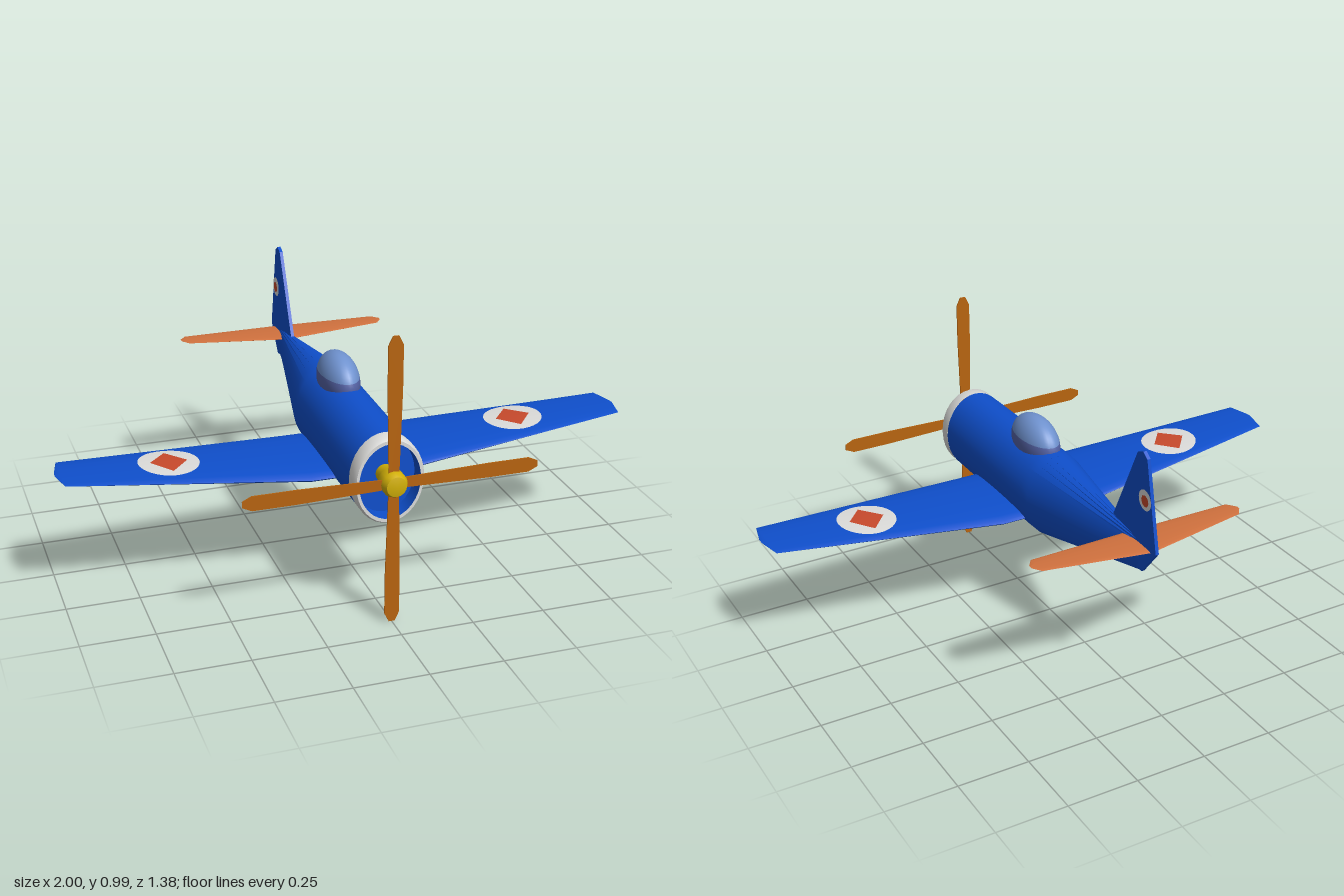
import * as THREE from 'three';
import { toCreasedNormals } from 'three/addons/utils/BufferGeometryUtils.js';

const material = (name, color) => new THREE.MeshStandardMaterial({ name, color });

// Skins a list of closed rings, each an array of [x, y, z] points.
function loft(rings, crease = 0.6) {
  const n = rings[0].length, index = [];
  for (let i = 0; i < rings.length - 1; i++) {
    for (let j = 0; j < n; j++) {
      const a = i * n + j, b = i * n + (j + 1) % n;
      index.push(a, a + n, b, b, a + n, b + n);
    }
  }
  const geometry = new THREE.BufferGeometry();
  geometry.setAttribute('position', new THREE.Float32BufferAttribute(rings.flat(2), 3));
  geometry.setIndex(index);
  return toCreasedNormals(geometry, crease);
}

const around = (n, point) => Array.from({ length: n }, (_, i) => point(i / n * Math.PI * 2));

// Upright elliptical body section at z.
const bodyRing = ([z, w, bottom, top]) => around(32, a =>
  [w * Math.cos(a), (top + bottom) / 2 + (top - bottom) / 2 * Math.sin(a), z]);

// Nose section scaled about the engine axis.
const noseRing = ([z, s]) => bodyRing([z, 0.12 * s, 0.495 - 0.15 * s, 0.495 + 0.15 * s]);

// Lens-shaped aerofoil stations [x, back z, front z, y, half thickness], mirrored across the span.
function wingGeometry(stations) {
  const span = [...stations].reverse().map(([x, ...rest]) => [-x, ...rest]).concat(stations);
  return loft(span.map(([x, back, front, y, h]) => around(20, a =>
    [x, y + h * Math.sin(a), (back + front) / 2 + (front - back) / 2 * Math.cos(a)])), 0.8);
}

const WING = [
  [0.18, 0, 0.38, 0.415, 0.024],
  [0.98, 0.1, 0.295, 0.474, 0.004],
  [1.0, 0.19, 0.21, 0.475, 0.001],
];

// Height of the wing's upper skin.
function wingTop(x, z) {
  const t = (Math.abs(x) - WING[0][0]) / (WING[1][0] - WING[0][0]);
  const [, back, front, y, h] = WING[0].map((v, i) => THREE.MathUtils.lerp(v, WING[1][i], t));
  const u = (z - (back + front) / 2) / ((front - back) / 2);
  return y + h * Math.sqrt(Math.max(0, 1 - u * u));
}

// Flat disc laid on the upper wing skin.
function wingDisc(x, z, rx, rz, sides, lift) {
  const geometry = new THREE.RingGeometry(0.001, 1, sides, 8);
  geometry.scale(rx, rz, 1).rotateX(-Math.PI / 2).translate(x, 0, z);
  const p = geometry.attributes.position;
  for (let i = 0; i < p.count; i++) p.setY(i, wingTop(p.getX(i), p.getZ(i)) + lift);
  geometry.computeVertexNormals();
  return geometry;
}

export function createModel() {
  const blue = material('blue paint', 0x0f4fcc);
  const white = material('white paint', 0xdcdcda);
  const red = material('red paint', 0xc84a2c);
  const yellow = material('yellow spinner', 0xd2b008);
  const wood = material('propeller wood', 0xb8640f);
  const orange = material('orange tailplane', 0xd0713e);
  const glass = material('canopy glass', 0x6f92cf);
  const rim = material('canopy rim', 0x5563a6);

  const model = new THREE.Group();
  model.name = 'airplane';
  const add = (name, geometry, mat, parent = model) => {
    const mesh = new THREE.Mesh(geometry, mat);
    mesh.name = name;
    parent.add(mesh);
    return mesh;
  };

  // Body tapering to an upright knife edge at the tail
  add('fuselage', loft([
    [0.57, 0.12, 0.345, 0.645],
    [0, 0.12, 0.345, 0.66],
    [-0.045, 0.118, 0.346, 0.659],
    [-0.61, 0.003, 0.49, 0.6],
    [-0.612, 0.0005, 0.53, 0.56],
  ].map(bodyRing)), blue);

  // Cowl band with a rounded lip and recessed opening
  add('cowl', loft([[0.625, 0.87], [0.625, 0.95], [0.612, 1], [0.57, 1.003]].map(noseRing)), white);
  add('noseOpening', loft([[0.57, 0.002], [0.57, 0.86], [0.625, 0.87]].map(noseRing)), blue);

  // Spinner
  const profile = [[0, 0.56], [0.03, 0.565], [0.034, 0.61], [0.043, 0.628],
    [0.043, 0.668], [0.034, 0.686], [0, 0.693]];
  const spinner = new THREE.LatheGeometry(profile.map(p => new THREE.Vector2(...p)), 16);
  spinner.rotateX(Math.PI / 2).translate(0, 0.503, 0);
  add('spinner', toCreasedNormals(spinner, 0.7), yellow);

  // Four thin blades
  const propeller = new THREE.Group();
  propeller.name = 'propeller';
  propeller.position.set(0, 0.503, 0.654);
  model.add(propeller);
  const bladeShape = new THREE.Shape([[-0.017, 0], [0.017, 0], [0.025, 0.32], [0.025, 0.465],
    [0.01, 0.496], [-0.01, 0.496], [-0.025, 0.465], [-0.025, 0.32]].map(p => new THREE.Vector2(...p)));
  for (let i = 0; i < 4; i++) {
    const blade = new THREE.ExtrudeGeometry(bladeShape, { depth: 0.004, bevelEnabled: false });
    add('blade', blade, wood, propeller).rotation.z = i * Math.PI / 2;
  }

  // Wing and tailplane
  add('wing', wingGeometry(WING), blue);
  add('tailplane', wingGeometry([
    [0.001, -0.66, -0.505, 0.582, 0.006],
    [0.37, -0.61, -0.533, 0.598, 0.002],
    [0.393, -0.58, -0.565, 0.599, 0.001],
  ]), orange);

  // Fin and rudder in one plate, drawn with the rear to the right
  const finShape = new THREE.Shape([[0.42, 0.6], [0.55, 0.5], [0.61, 0.49], [0.69, 0.59],
    [0.625, 0.9], [0.6, 0.917], [0.57, 0.905], [0.43, 0.613]].map(p => new THREE.Vector2(...p)));
  const fin = new THREE.ExtrudeGeometry(finShape, { depth: 0.012, bevelEnabled: false });
  add('fin', fin.translate(0, 0, -0.006).rotateY(Math.PI / 2), blue);

  // Painted discs on the wing tops and both fin faces
  for (const side of [-1, 1]) {
    add('wingDisc', wingDisc(side * 0.62, 0.188, 0.103, 0.103, 32, 0.003), white);
    add('wingDiamond', wingDisc(side * 0.62, 0.188, 0.063, 0.075, 4, 0.005), red);
    const turn = side * Math.PI / 2;
    add('finDisc', new THREE.CircleGeometry(0.036, 24).rotateY(turn)
      .translate(side * 0.0075, 0.755, -0.62), white);
    add('finDot', new THREE.CircleGeometry(0.021, 8).rotateY(turn)
      .translate(side * 0.009, 0.753, -0.622), red);
  }

  // Bubble canopy: clear dome above a darker rim
  const split = 1.3;
  const bubble = (from, length) => new THREE.SphereGeometry(1, 28, 12, 0, Math.PI * 2, from, length)
    .scale(0.067, 0.097, 0.132).translate(0, 0.65, 0.102);
  add('canopyGlass', bubble(0, split), glass);
  add('canopyRim', bubble(split, Math.PI - split), rim);

  return model;
}
